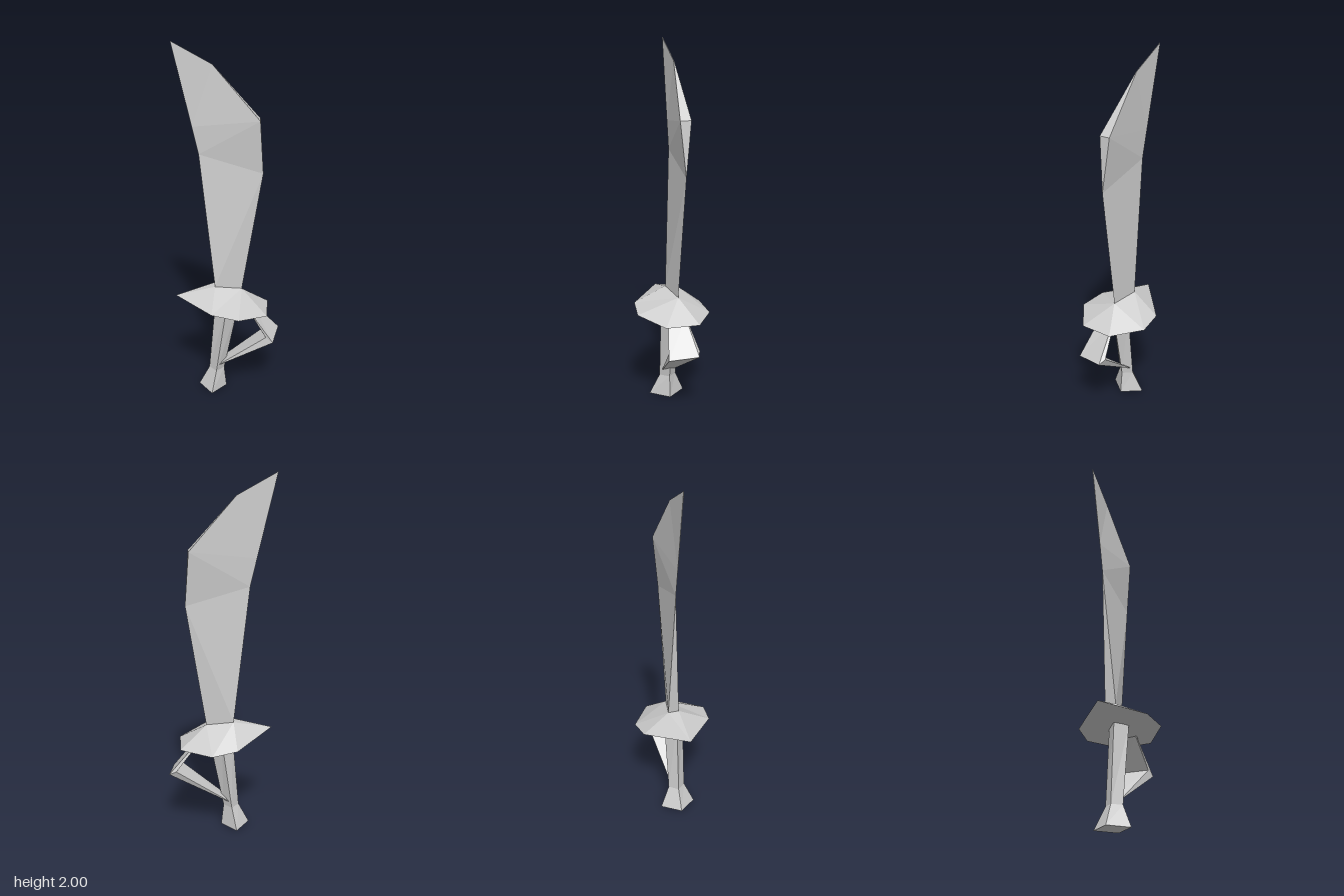
import * as THREE from 'three';

const steel = new THREE.MeshStandardMaterial({ color: 0xcccccc, flatShading: true });
steel.name = 'paleGrey';

// Skins a list of rings (counter-clockwise seen from the far end) and caps both ends.
// flipped lists the sides whose quads are split along the other diagonal.
function loft(name, rings, flipped = []) {
  const pos = [];
  const area = new THREE.Triangle();
  const tri = (a, b, c) => {
    area.set(a, b, c);
    if (area.getArea() > 1e-7) for (const p of [a, b, c]) pos.push(p.x, p.y, p.z);
  };
  const R = rings.map(r => r.map(p => new THREE.Vector3(...p)));
  const n = R[0].length;
  for (let k = 0; k + 1 < R.length; k++) {
    for (let i = 0; i < n; i++) {
      const j = (i + 1) % n;
      const a = R[k][i], b = R[k][j], c = R[k + 1][j], d = R[k + 1][i];
      if (flipped.includes(i)) { tri(a, b, d); tri(b, c, d); }
      else { tri(a, b, c); tri(a, c, d); }
    }
  }
  const cap = (ring, start) => {
    const mid = ring.reduce((s, p) => s.add(p), new THREE.Vector3()).divideScalar(n);
    ring.forEach((p, i) => {
      const q = ring[(i + 1) % n];
      if (start) tri(mid, q, p); else tri(mid, p, q);
    });
  };
  cap(R[0], true);
  cap(R[R.length - 1], false);
  const geo = new THREE.BufferGeometry();
  geo.setAttribute('position', new THREE.Float32BufferAttribute(pos, 3));
  geo.computeVertexNormals();
  const mesh = new THREE.Mesh(geo, steel);
  mesh.name = name;
  return mesh;
}

// Four-point blade section: left and right edge, each with a front and back z.
const section = (lx, ly, lf, lb, rx, ry, rf, rb) =>
  [[lx, ly, lf], [rx, ry, rf], [rx, ry, rb], [lx, ly, lb]];

// Diamond section of the grip.
const diamond = (x, y, rx, rz, tilt = 0) =>
  [[x, y, rz], [x + rx, y - tilt, 0], [x, y, -rz], [x - rx, y + tilt, 0]];

export function createModel() {
  const sword = new THREE.Group();
  sword.name = 'sword';

  // Curved blade: wedge-shaped foot, thick upper bulge, thin tip
  const base = section(-0.07, 0.652, 0.01, -0.05, 0.078, 0.63, -0.02, -0.02);
  sword.add(loft('blade', [
    base,
    section(-0.155, 1.41, -0.035, -0.035, 0.187, 1.31, -0.028, -0.028),
    section(-0.155, 1.41, -0.035, -0.035, 0.168, 1.603, 0, -0.06),
    section(-0.189, 1.56, -0.036, -0.037, 0.168, 1.603, 0, -0.06),
    section(-0.29, 2, -0.04, -0.043, -0.08, 1.885, -0.041, -0.044),
  ], [2]));

  // Seven-cornered hand guard rising to the foot of the blade
  const [lf, rf, rb, lb] = base;
  sword.add(loft('handGuard', [
    [[-0.08, 0.569, 0.187], [0.068, 0.549, 0.207], [0.22, 0.517, 0.09], [0.225, 0.516, -0.095],
      [0.06, 0.519, -0.209], [-0.078, 0.541, -0.195], [-0.29, 0.593, 0.007]],
    [lf, rf, rf, rb, rb, lb, lb],
  ]));

  // Tapered grip flaring into the pommel
  sword.add(loft('grip', [
    diamond(-0.086, 0.004, 0.079, 0.1, 0.004),
    diamond(-0.063, 0.123, 0.043, 0.047),
    diamond(-0.003, 0.553, 0.067, 0.055),
  ]));

  // Bent knuckle bow, tapering to an edge at the grip and at the guard
  sword.add(loft('knuckleBow', [
    [[-0.046, 0.162, 0.035], [-0.044, 0.159, 0.035], [-0.044, 0.159, -0.038], [-0.046, 0.162, -0.038]],
    [[0.217, 0.371, 0.075], [0.257, 0.345, 0.087], [0.289, 0.361, -0.073], [0.25, 0.382, -0.087]],
    [[0.112, 0.534, 0.045], [0.116, 0.534, 0.05], [0.132, 0.534, -0.045], [0.122, 0.534, -0.05]],
  ]));

  return sword;
}
